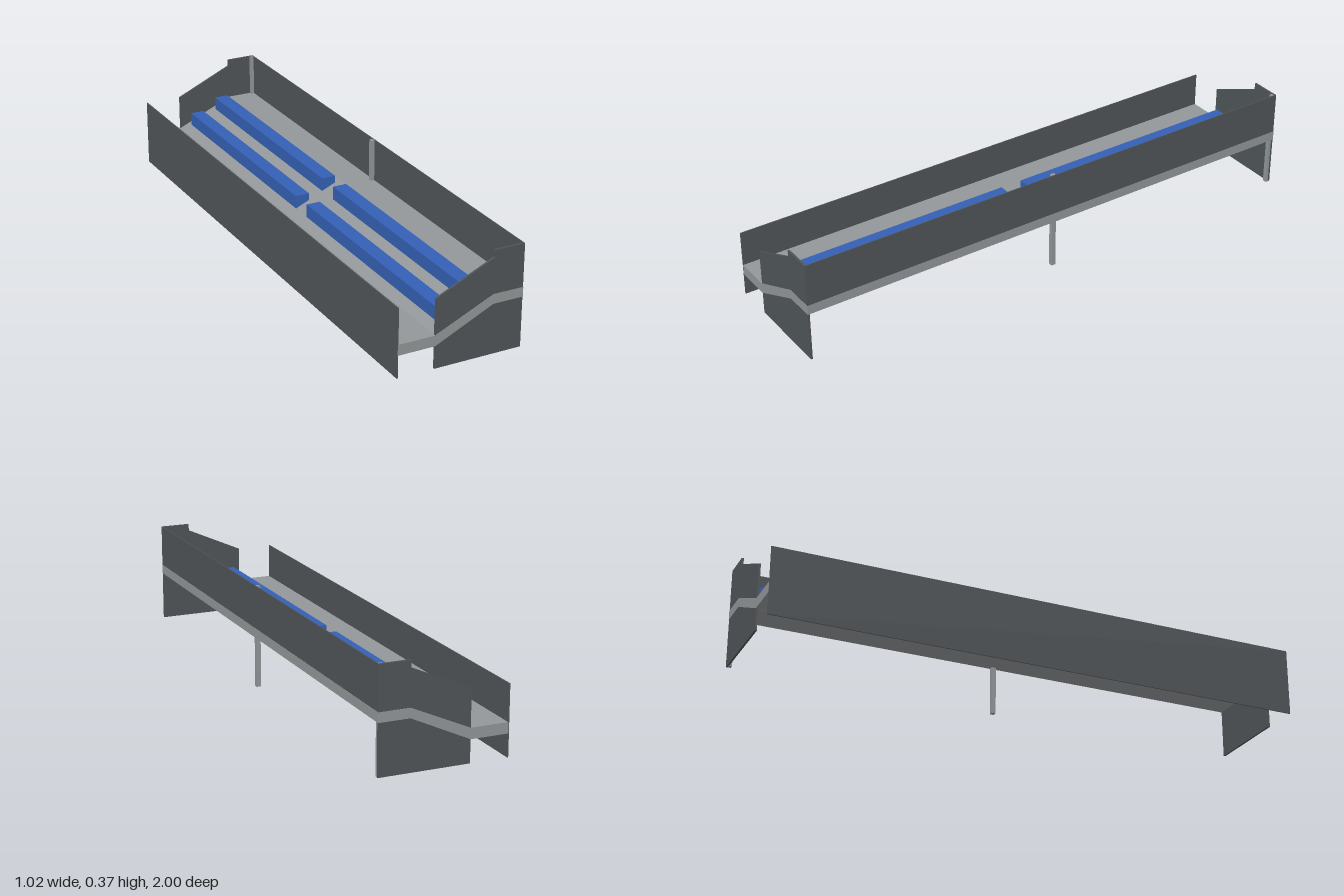
import * as THREE from 'three';

export function createModel() {
  const root = new THREE.Group();
  root.name = 'grandstand';
  const stand = new THREE.Group();
  stand.name = 'standBody';
  stand.rotation.y = 0.3047; // the whole stand sits askew on its plot
  root.add(stand);

  const material = (name, color) => {
    const m = new THREE.MeshStandardMaterial({ color });
    m.name = name;
    return m;
  };
  const panelDark = material('dark panel grey', 0x505558);
  const concrete = material('concrete grey', 0x939799);
  const seatBlue = material('seat blue', 0x3461b5);

  const W = 0.2275, L = 0.975;     // half width and half length
  const x1 = -0.092, x2 = 0.1175;  // start and end of the sloped deck

  const add = (name, geometry, mat) => {
    const mesh = new THREE.Mesh(geometry, mat);
    mesh.name = name;
    stand.add(mesh);
    return mesh;
  };
  // box given by its minimum and maximum corners
  const box = (name, mat, a, b) => {
    const mesh = add(name, new THREE.BoxGeometry(b[0] - a[0], b[1] - a[1], b[2] - a[2]), mat);
    mesh.position.set((a[0] + b[0]) / 2, (a[1] + b[1]) / 2, (a[2] + b[2]) / 2);
  };
  // cross-section in x and y, extruded along z
  const section = (name, mat, points, z0, z1) => {
    const shape = new THREE.Shape(points.map(([x, y]) => new THREE.Vector2(x, y)));
    const geometry = new THREE.ExtrudeGeometry(shape, { depth: z1 - z0, bevelEnabled: false });
    add(name, geometry, mat).position.z = z0;
  };

  // Deck: low walkway, ramp and high walkway
  section('deck', concrete, [
    [-W + 0.002, 0.08], [x1, 0.08], [x2, 0.178], [W, 0.178],
    [W, 0.212], [x2, 0.212], [x1, 0.118], [-W + 0.002, 0.118],
  ], -L, L);

  // End panels with sloped top edges
  const t = 0.007, e = 0.001;
  const endProfile = [
    [x1, 0], [W - e, 0], [W - e, 0.365], [x2, 0.365], [x2, 0.34], [x1, 0.245],
  ];
  section('frontEndPanel', panelDark, endProfile, L - e - t, L - e);
  section('backEndPanel', panelDark, endProfile, -L + e, -L + e + t);

  // Low wall along the open side, tall wall along the high side
  box('lowWall', panelDark, [-W, 0, -L], [-W + 0.004, 0.245, L]);
  box('tallWall', panelDark, [W - 0.004, 0.2, -L + e], [W - 0.0005, 0.365, L - e]);

  // Posts carrying the high side
  const p = 0.016;
  for (const [name, z] of [['middlePost', 0.011], ['cornerPost', -L + 0.002 + p / 2]]) {
    box(name, concrete, [W - 0.001 - p, 0, z - p / 2], [W - 0.001, 0.364, z + p / 2]);
  }

  // Two rows of benches, each split by a central aisle
  for (const [row, x, y] of [['lower', -0.03, 0.133], ['upper', 0.074, 0.18]]) {
    for (const [end, z0, z1] of [['Back', -0.943, -0.044], ['Front', 0.037, 0.933]]) {
      box(row + end + 'Bench', seatBlue, [x - 0.026, y, z0], [x + 0.026, y + 0.049, z1]);
    }
  }
  return root;
}
